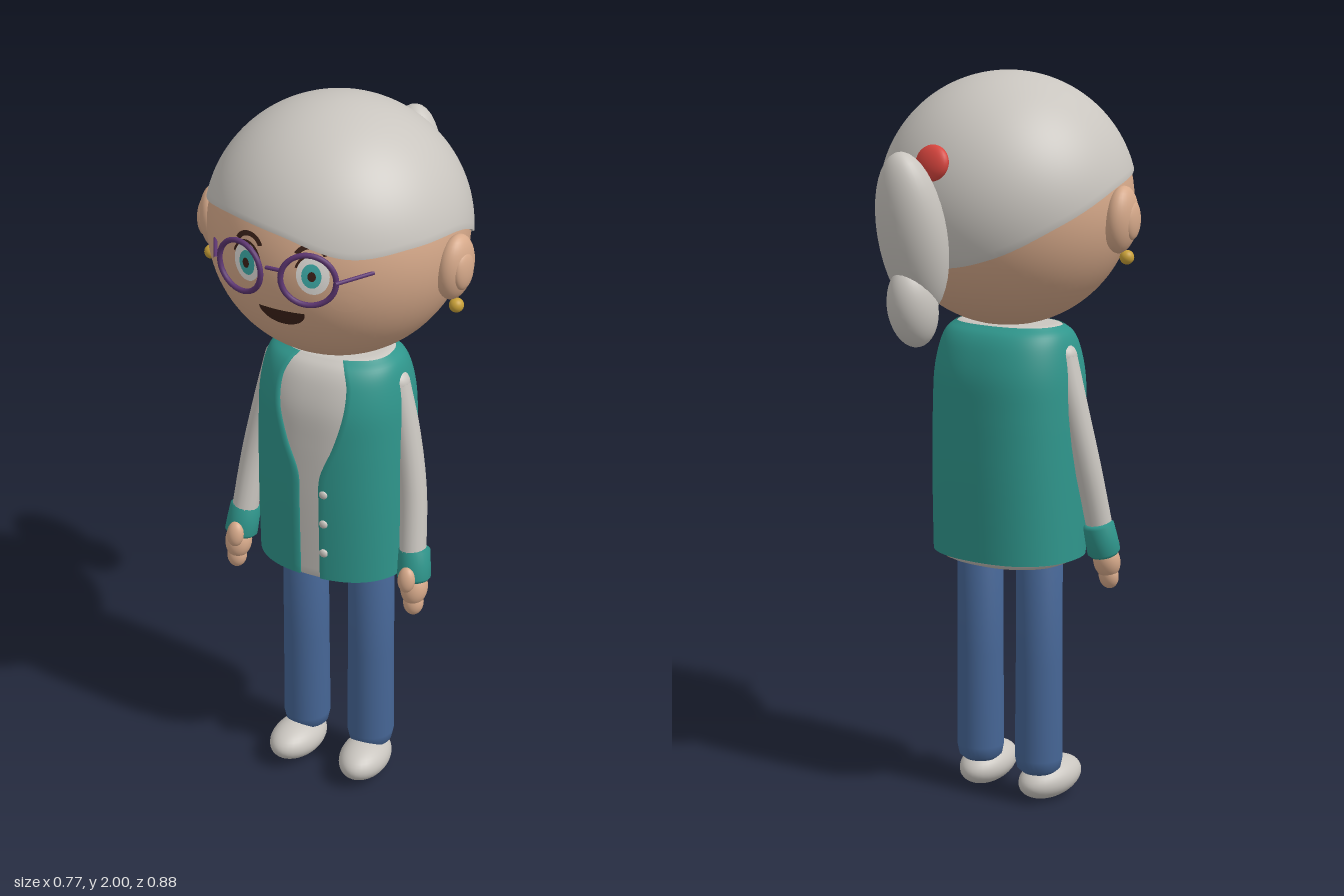
import * as THREE from 'three';
import { mergeVertices } from 'three/addons/utils/BufferGeometryUtils.js';

const V = (x, y, z) => new THREE.Vector3(x, y, z);
const mat = (name, color, side = THREE.FrontSide) => {
  const m = new THREE.MeshStandardMaterial({ color, side });
  m.name = name;
  return m;
};

// Smooth surface from a rule fn(u, v); u runs counter-clockwise seen from above, v runs upward
function grid(nu, nv, fn) {
  const pos = [], idx = [];
  for (let j = 0; j <= nv; j++)
    for (let i = 0; i <= nu; i++) pos.push(...fn(i / nu, j / nv));
  for (let j = 0; j < nv; j++)
    for (let i = 0; i < nu; i++) {
      const a = j * (nu + 1) + i, b = a + nu + 1;
      idx.push(a, a + 1, b, a + 1, b + 1, b);
    }
  let g = new THREE.BufferGeometry();
  g.setAttribute('position', new THREE.Float32BufferAttribute(pos, 3));
  g.setIndex(idx);
  g = mergeVertices(g, 1e-5);
  g.computeVertexNormals();
  return g;
}

export function createModel() {
  const root = new THREE.Group();
  root.name = 'grandmother';
  const skin = mat('skin', 0xd6a98a);
  const grey = mat('pale grey', 0xc9c5bf);
  const teal = mat('teal', 0x2f968c, THREE.DoubleSide);
  const denim = mat('denim', 0x466696);
  const red = mat('red', 0xd8453e);
  const gold = mat('gold', 0xc8a038);
  const purple = mat('purple', 0x5c3570);
  const dark = mat('dark brown', 0x3c2219);
  const white = mat('eye white', 0xe6e3de);
  const iris = mat('iris', 0x3fb0ac);

  const add = (name, geo, material, parent = root) => {
    const m = new THREE.Mesh(geo, material);
    m.name = name;
    parent.add(m);
    return m;
  };
  const ball = (name, material, p, r, rot = [0, 0, 0], parent = root) => {
    const m = add(name, new THREE.SphereGeometry(1, 32, 20), material, parent);
    m.position.set(...p);
    m.scale.set(...r);
    m.rotation.set(...rot);
    return m;
  };
  const rod = (name, material, pts, r, parent = root) =>
    add(name, new THREE.TubeGeometry(new THREE.CatmullRomCurve3(pts), 24, r, 16), material, parent);

  // Head
  const C = V(0, 1.663, 0.065), R = 0.334, HR = 0.342;
  ball('head', skin, C.toArray(), [R, R, R]).geometry = new THREE.SphereGeometry(1, 64, 40);

  // Hair cap: the hairline height varies around the head, from the back through the front
  const hairline = new THREE.CatmullRomCurve3(
    [1.51, 1.545, 1.63, 1.71, 1.745, 1.775, 1.767, 1.722, 1.728, 1.715, 1.63, 1.545].map(y => V(0, y, 0)),
    true, 'catmullrom');
  add('hairCap', grid(96, 32, (u, v) => {
    const phi = (u === 1 ? 0 : u) * 2 * Math.PI - Math.PI;
    const end = Math.acos((hairline.getPoint(u % 1).y - C.y) / HR);
    const w = Math.max(0, (v * 32 - 2) / 30);
    const th = end * (1 - w);
    const r = v * 32 < 0.5 ? R - 0.006 : v * 32 < 1.5 ? HR - 0.003 : HR;
    const s = w === 1 ? 0 : Math.sin(th);
    return [r * s * Math.sin(phi), C.y + r * Math.cos(th) * (HR - 0.004) / HR, C.z + r * s * Math.cos(phi)];
  }), grey);

  // Ponytail and its tie
  ball('ponytailUpper', grey, [0, 1.61, -0.345], [0.092, 0.215, 0.082], [-0.24, 0, 0]);
  ball('ponytailLower', grey, [0, 1.425, -0.345], [0.062, 0.108, 0.07], [-0.25, 0, 0]);
  ball('hairTie', red, [0, 1.782, -0.262], [0.05, 0.047, 0.024], [0.2, 0, 0]);

  // Face plates: thin patches that follow the head surface
  const patch = (name, material, x, y, rx, ry, lift, inner = 0, start = 0, len = Math.PI * 2) => {
    const g = new THREE.RingGeometry(inner, 1, 36, 4, start, len);
    const p = g.attributes.position;
    for (let i = 0; i < p.count; i++) {
      const px = x + p.getX(i) * rx, py = y + p.getY(i) * ry;
      p.setXYZ(i, px, py, C.z + lift + Math.sqrt(R * R - px * px - (py - C.y) ** 2));
    }
    g.computeVertexNormals();
    return add(name, g, material);
  };
  patch('mouth', dark, 0, 1.563, 0.063, 0.045, 0.003, 0, Math.PI, Math.PI);

  for (const s of [-1, 1]) {
    const side = s > 0 ? 'left' : 'right';
    const named = part => side + part;

    // Eyes, lashes and brows
    patch(named('EyeWhite'), white, s * 0.09, 1.675, 0.04, 0.05, 0.003);
    patch(named('Iris'), iris, s * 0.088, 1.675, 0.024, 0.032, 0.005);
    patch(named('Pupil'), dark, s * 0.09, 1.675, 0.01, 0.013, 0.007);
    patch(named('Lash'), dark, s * 0.09, 1.675, 0.046, 0.057, 0.004, 0.88, 0.35, Math.PI - 0.7);
    patch(named('Brow'), dark, s * 0.085, 1.715, 0.045, 0.04, 0.004, 0.7, 0.4, Math.PI - 0.8);
    patch(named('Cheek'), skin, s * 0.165, 1.605, 0.038, 0.03, 0.002);

    // Glasses
    const rim = add(named('GlassesRim'), new THREE.TorusGeometry(0.066, 0.007, 12, 40), purple);
    rim.position.set(s * 0.093, 1.677, 0.417);
    rim.rotation.y = s * 0.27;
    rim.scale.x = 1.04;
    rod(named('GlassesArm'), purple, [V(s * 0.163, 1.68, 0.412), V(s * 0.218, 1.68, 0.315)], 0.005);

    // Ear and earring
    ball(named('Ear'), skin, [s * 0.337, 1.628, 0.098], [0.04, 0.088, 0.064], [0, s * -0.15, s * -0.08]);
    ball(named('InnerEar'), skin, [s * 0.364, 1.628, 0.108], [0.018, 0.052, 0.038], [0, s * -0.15, 0]);
    ball(named('Earring'), gold, [s * 0.348, 1.53, 0.11], [0.019, 0.019, 0.019]);

    // Arm
    const arm = new THREE.Group();
    arm.name = named('Arm');
    root.add(arm);
    const path = [V(s * 0.172, 1.255, 0.08), V(s * 0.205, 1.12, 0.085), V(s * 0.235, 0.96, 0.104), V(s * 0.253, 0.78, 0.14)];
    rod('sleeve', grey, path, 0.036, arm);
    ball('shoulder', grey, path[0].toArray(), [0.036, 0.036, 0.036], [0, 0, 0], arm);
    const cuff = add('cuff', new THREE.LatheGeometry(
      [[0, -0.048], [0.036, -0.048], [0.045, -0.038], [0.044, 0], [0.042, 0.038], [0.034, 0.046], [0, 0.046]]
        .map(p => new THREE.Vector2(...p)), 28), teal, arm);
    cuff.position.set(s * 0.257, 0.76, 0.139);
    cuff.rotation.set(-0.22, 0, s * 0.09);
    ball('palm', skin, [s * 0.265, 0.695, 0.155], [0.037, 0.05, 0.036], [-0.3, 0, 0], arm);
    ball('fingers', skin, [s * 0.267, 0.652, 0.162], [0.028, 0.036, 0.025], [-0.2, 0, 0], arm);
    ball('thumb', skin, [s * 0.257, 0.733, 0.187], [0.024, 0.036, 0.02], [-0.2, 0, 0], arm);

    // Leg and shoe
    const leg = add(named('Leg'), new THREE.LatheGeometry(
      [[0, 0.085], [0.045, 0.087], [0.06, 0.1], [0.066, 0.13], [0.064, 0.4], [0.063, 0.73], [0, 0.73]]
        .map(p => new THREE.Vector2(...p)), 32), denim);
    leg.position.set(s * 0.1, 0, 0.074);
    ball(named('Shoe'), grey, [s * 0.106, 0.06, 0.12], [0.068, 0.054, 0.11], [-0.09, s * 0.08, 0]);
  }
  rod('glassesBridge', purple, [V(-0.025, 1.685, 0.412), V(0.025, 1.685, 0.412)], 0.005);

  // Torso rows: height, half width, half depth, half width of the vest opening
  const rows = [
    [0.705, 0.212, 0.173, 0.03], [0.82, 0.213, 0.176, 0.03], [0.93, 0.213, 0.178, 0.03],
    [1.02, 0.212, 0.178, 0.033], [1.11, 0.21, 0.177, 0.068], [1.2, 0.206, 0.173, 0.093],
    [1.27, 0.195, 0.155, 0.095], [1.312, 0.18, 0.132, 0.08], [1.335, 0.155, 0.102, 0.062],
  ];
  const body = new THREE.CatmullRomCurve3(rows.map(r => V(r[1], r[0], r[2])), false, 'catmullrom');
  const gap = new THREE.CatmullRomCurve3(rows.map(r => V(r[3], 0, 0)), false, 'catmullrom');
  const E = 0.86, TZ = 0.0725;
  const round = a => Math.sign(a) * Math.abs(a) ** E;
  const onBody = (v, phi, k) => {
    const b = body.getPoint(v);
    return [b.x * k * round(Math.sin(phi)), b.y, TZ + b.z * k * round(Math.cos(phi))];
  };

  // Vest, open at the front, with its edges turned inward
  add('vest', grid(82, 40, (u, v) => {
    const a = Math.asin((gap.getPoint(v).x / body.getPoint(v).x) ** (1 / E));
    const w = THREE.MathUtils.clamp((u * 82 - 1) / 80, 0, 1);
    return onBody(v, a + w * 2 * (Math.PI - a), u === 0 || u === 1 ? 0.955 : 1);
  }), teal);

  // Shirt with closed bottom and neck
  add('shirt', grid(80, 46, (u, v) => {
    const j = Math.round(v * 46), phi = u * 2 * Math.PI - Math.PI;
    const k = j === 0 || j === 46 ? 0 : j === 1 ? 0.82 : j === 2 ? 0.92 : j === 45 ? 0.85 : 0.965;
    const p = onBody(THREE.MathUtils.clamp((j - 3) / 41, 0, 1), phi, k);
    if (j < 3) p[1] -= j === 2 ? 0.006 : 0.018;
    if (j > 44) p[1] += 0.003;
    return p;
  }), grey);

  // Buttons
  for (const y of [0.97, 0.88, 0.79]) ball('button', grey, [0.043, y, 0.248], [0.012, 0.012, 0.007]);

  return root;
}
